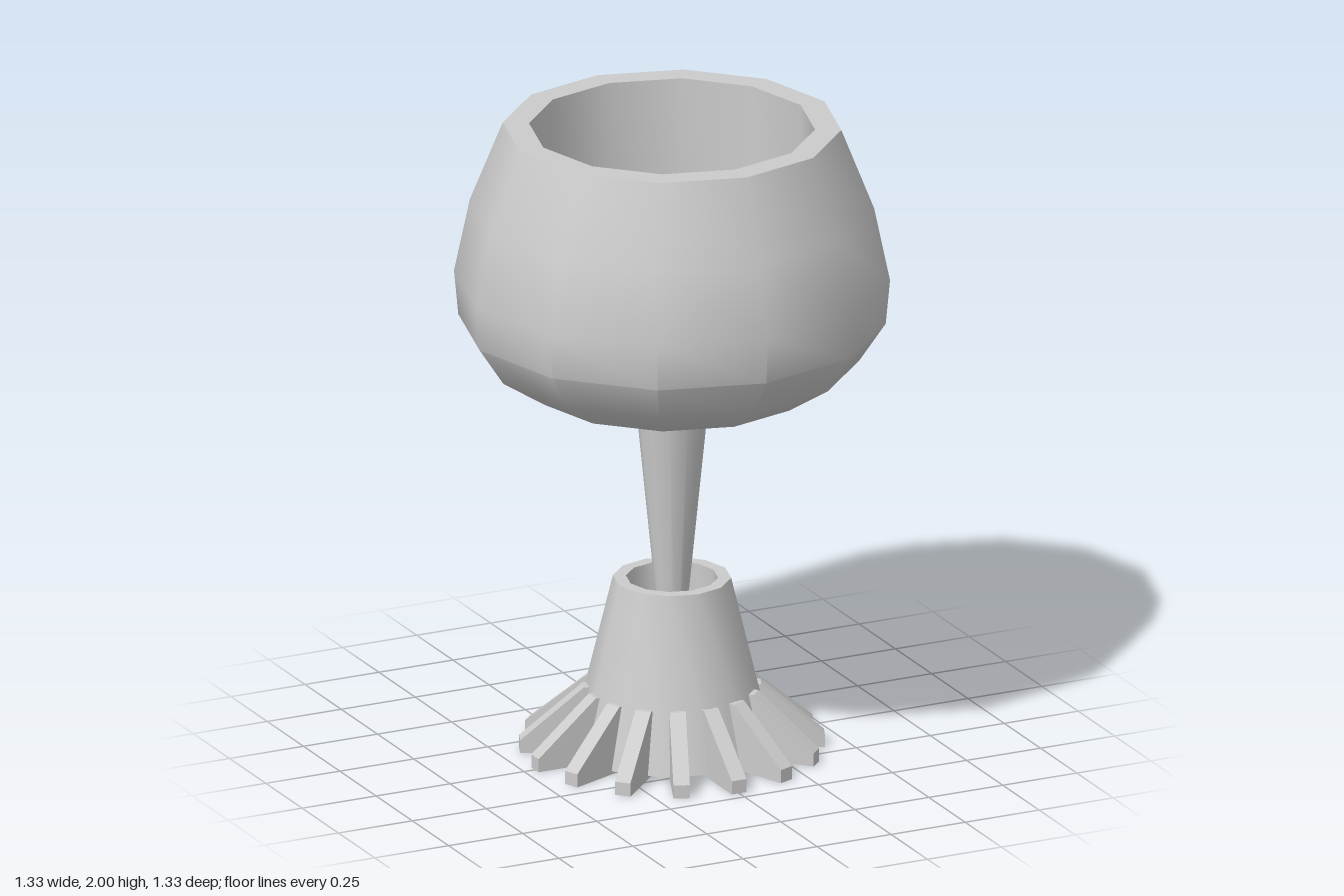
import * as THREE from 'three';
import { toCreasedNormals } from 'three/addons/utils/BufferGeometryUtils.js';

const SIDES = 12;
const FINS = 16;

export function createModel() {
  const model = new THREE.Group();
  const material = new THREE.MeshStandardMaterial({ color: 0xcccccc });

  const add = (name, geometry, parent = model) => {
    const mesh = new THREE.Mesh(geometry, material);
    mesh.name = name;
    parent.add(mesh);
    return mesh;
  };

  // Turned part: [radius, height] profile, smooth around with sharp rims
  const turned = (name, profile) => {
    const points = profile.map(([r, y]) => new THREE.Vector2(r, y));
    return add(name, toCreasedNormals(new THREE.LatheGeometry(points, SIDES), 0.65));
  };

  // Thick-walled bowl with a straight-sided hollow
  turned('bowl', [
    [0, 1.17], [0.43, 1.17], [0.57, 1.26], [0.65, 1.38], [0.663, 1.52],
    [0.615, 1.75], [0.515, 2], [0.435, 2], [0.435, 1.25], [0, 1.25],
  ]);

  // Tapered stem with a narrow neck under the bowl
  turned('stem', [
    [0, 0.29], [0.03, 0.29], [0.112, 1.12], [0.06, 1.12], [0.06, 1.18], [0, 1.18],
  ]);

  // Conical foot, hollowed around the stem
  turned('foot', [
    [0, 0.012], [0.31, 0.012], [0.18, 0.55], [0.14, 0.55], [0.14, 0.3], [0, 0.3],
  ]);

  // Ring of sloped fins around the foot
  const outline = new THREE.Shape([
    [0.24, 0], [0.463, 0], [0.463, 0.042], [0.27, 0.207], [0.24, 0.207],
  ].map(([r, y]) => new THREE.Vector2(r, y)));
  const width = 0.05;
  const finGeometry = new THREE.ExtrudeGeometry(outline, { depth: width, bevelEnabled: false });
  finGeometry.translate(0, 0, -width / 2);
  const fins = new THREE.Group();
  fins.name = 'footFins';
  for (let i = 0; i < FINS; i++) {
    add('fin', finGeometry, fins).rotation.y = (i / FINS) * Math.PI * 2;
  }
  model.add(fins);

  return model;
}
